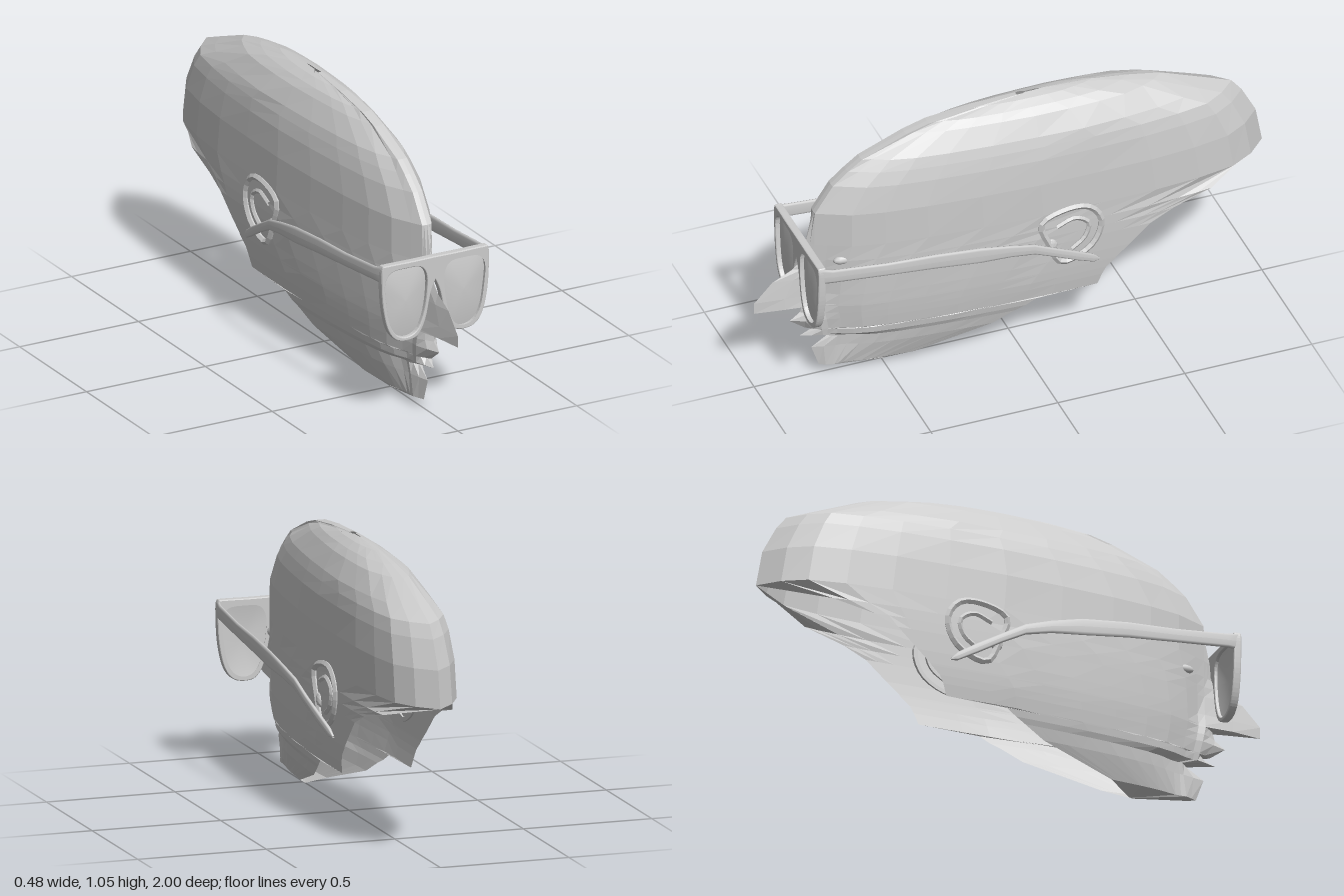
import * as THREE from 'three';

const grey = (opts = {}) => new THREE.MeshStandardMaterial({ color: 0xcccccc, side: THREE.DoubleSide, ...opts });

// Linear interpolation in a short table of [key, value] pairs
function lookup(table, k) {
  const i = table.findIndex(([key]) => k <= key);
  if (i === 0) return table[0][1];
  if (i < 0) return table[table.length - 1][1];
  const [a, va] = table[i - 1], [b, vb] = table[i];
  return va + (vb - va) * (k - a) / (b - a);
}

// Skin a surface over rows of equal length
function skin(rows) {
  const n = rows[0].length, index = [];
  for (let i = 0; i < rows.length - 1; i++)
    for (let j = 0; j < n - 1; j++) {
      const a = i * n + j, b = a + 1, c = a + n, d = c + 1;
      index.push(a, b, d, a, d, c);
    }
  const g = new THREE.BufferGeometry();
  g.setAttribute('position', new THREE.Float32BufferAttribute(rows.flat(2), 3));
  g.setIndex(index);
  g.computeVertexNormals();
  return g;
}

function add(parent, name, geometry, material) {
  const m = new THREE.Mesh(geometry, material);
  m.name = name;
  parent.add(m);
  return m;
}

// Head profile: [height, front z, back z]
const profile = [
  [0, .5, .48], [.035, .745, .39], [.12, .775, .1], [.165, .705, .02], [.185, .82, -.02],
  [.21, .765, -.06], [.215, .8, -.3], [.26, .86, -.315], [.29, .82, -.33], [.322, .81, -.365],
  [.33, 1, -.37], [.375, 1, -.42], [.45, .93, -.5], [.49, .85, -.59], [.53, .805, -.75],
  [.595, .8, -1], [.735, .77, -.975], [.84, .7, -.92], [.89, .64, -.88], [.93, .585, -.78],
  [1, .41, -.6], [1.025, .32, -.47], [1.045, .15, -.33], [1.055, -.03, -.13]
];
const faceBase = [[0, .495], [.035, .7], [.165, .68], [.185, .74], [.322, .77]]; // behind nose and lips
const frontTaper = [[0, 0], [.04, .25], [.1, .46], [.17, .6], [.3, .74], [.5, .88], [.8, 1]];
const backTaper = [[0, 0], [.03, .28], [.14, .74], [.3, .91], [.5, 1]];
const steps = [.025, .07, .14, .23, .35, .48, .61, .73, .83, .91, .96, 1];

function headGeometry() {
  return skin(profile.map(([y, tip, back]) => {
    const t = y > .65 ? (y - .65) / .407 : (.65 - y) / .65;
    const half = .012 + .146 * Math.sqrt(1 - t ** 3);
    const ridge = (.02 + .02 * Math.exp(-(((y - .27) / .1) ** 2))) * Math.min(1, half / .07);
    const base = Math.min(tip - .002, lookup(faceBase, y));
    const rear = y < .59 ? -1 : back; // the underside stays open below the skull
    const side = [[ridge * .55, y, (base + tip) / 2], [ridge, y, base]];
    for (const u of steps) {
      const z = base + (back - base) * u;
      const w = half * lookup(frontTaper, base - z) * lookup(backTaper, z - rear);
      side.push([u < .3 ? Math.max(w, ridge) : w, y, z]);
    }
    const mirrored = side.map(([x, h, z]) => [-x, h, z]).reverse();
    return [...mirrored, [0, y, tip], ...side];
  }));
}

// Ear: rim, inner fold and front flap, lying close to the head
function ear(mat) {
  const g = new THREE.Group();
  g.name = 'ear';
  const curve = (pts, closed) => new THREE.CatmullRomCurve3(pts.map(([z, y]) => new THREE.Vector3(.158, y, z)), closed);
  const rim = curve([[-.07, .56], [-.18, .603], [-.26, .59], [-.305, .52], [-.27, .42], [-.15, .37], [-.1, .46]], true);
  add(g, 'earRim', new THREE.TubeGeometry(rim, 26, .013, 5, true), mat);
  const fold = curve([[-.13, .53], [-.2, .555], [-.255, .52], [-.24, .46], [-.19, .42]], false);
  add(g, 'earFold', new THREE.TubeGeometry(fold, 12, .01, 5), mat);
  const flap = add(g, 'earFlap', new THREE.IcosahedronGeometry(.03, 1), mat);
  flap.scale.set(.45, 1, .8);
  flap.position.set(.155, .45, -.11);
  return g;
}

// Glasses outlines, left half
const lensPoints = [[.035, .5], [.037, .57], [.06, .602], [.12, .609], [.185, .602], [.209, .57],
  [.206, .48], [.188, .39], [.16, .349], [.12, .336], [.08, .352], [.052, .405]];
const framePoints = [[0, .632], [.1, .631], [.2, .632], [.222, .626], [.225, .57], [.219, .47],
  [.2, .383], [.168, .336], [.12, .323], [.073, .337], [.042, .395], [.021, .49], [0, .542]];
const lensOutline = new THREE.CatmullRomCurve3(lensPoints.map(([x, y]) => new THREE.Vector3(x, y, 0)), true).getPoints(48);

function frameGeometry() {
  const half = new THREE.SplineCurve(framePoints.map(([x, y]) => new THREE.Vector2(x, y))).getPoints(60);
  const other = half.slice(1, -1).reverse().map(p => new THREE.Vector2(-p.x, p.y));
  const shape = new THREE.Shape([...half, ...other]);
  for (const s of [1, -1])
    shape.holes.push(new THREE.Path(lensOutline.slice(1).map(p => new THREE.Vector2(s * p.x, p.y))));
  const g = new THREE.ExtrudeGeometry(shape, { depth: .018, bevelEnabled: true, bevelThickness: .006,
    bevelSize: .004, bevelOffset: -.003, bevelSegments: 3 });
  return g.translate(0, 0, .81);
}

// Lens: rings shrinking toward the centre, gently domed
function lensGeometry() {
  const outline = [...lensOutline].reverse(), cx = .122, cy = .478;
  return skin([1.01, .93, .75, .5, .25, .001].map(r => outline.map(p =>
    [cx + (p.x - cx) * r, cy + (p.y - cy) * r, .816 + .012 * (1 - r * r)])));
}

// Temple arm: [z, x, centre y, half height], from ear tip to hinge
const armStations = [[-.295, .166, .352, .004], [-.27, .172, .365, .017], [-.2, .188, .403, .02],
  [-.11, .205, .452, .019], [-.02, .217, .498, .021], [.08, .227, .522, .025], [.2, .234, .54, .033],
  [.38, .234, .56, .031], [.57, .23, .573, .027], [.78, .224, .592, .028], [.83, .217, .598, .034]];

function armGeometry() {
  const round = v => Math.sign(v) * Math.abs(v) ** .6;
  return skin(armStations.map(([z, x, y, h]) => Array.from({ length: 13 }, (_, k) => {
    const a = k / 12 * Math.PI * 2;
    return [x + Math.min(h, .007) * round(Math.cos(a)), y + h * round(Math.sin(a)), z];
  })));
}

export function createModel() {
  const model = new THREE.Group();
  model.name = 'headWithGlasses';
  const faceted = grey({ flatShading: true }), smooth = grey();
  add(model, 'head', headGeometry(), faceted);
  add(model, 'glassesFrame', frameGeometry(), smooth);

  // Paired parts, mirrored across the middle
  for (const s of [1, -1]) {
    const side = new THREE.Group();
    side.name = s > 0 ? 'leftSide' : 'rightSide';
    side.scale.x = s;
    side.add(ear(faceted));
    const eye = add(side, 'eye', new THREE.SphereGeometry(.03, 12, 8), smooth);
    eye.scale.set(.6, .6, 1.4);
    eye.position.set(.058, .53, .67);
    add(side, 'lens', lensGeometry(), smooth);
    add(side, 'templeArm', armGeometry(), smooth);
    model.add(side);
  }
  return model;
}
